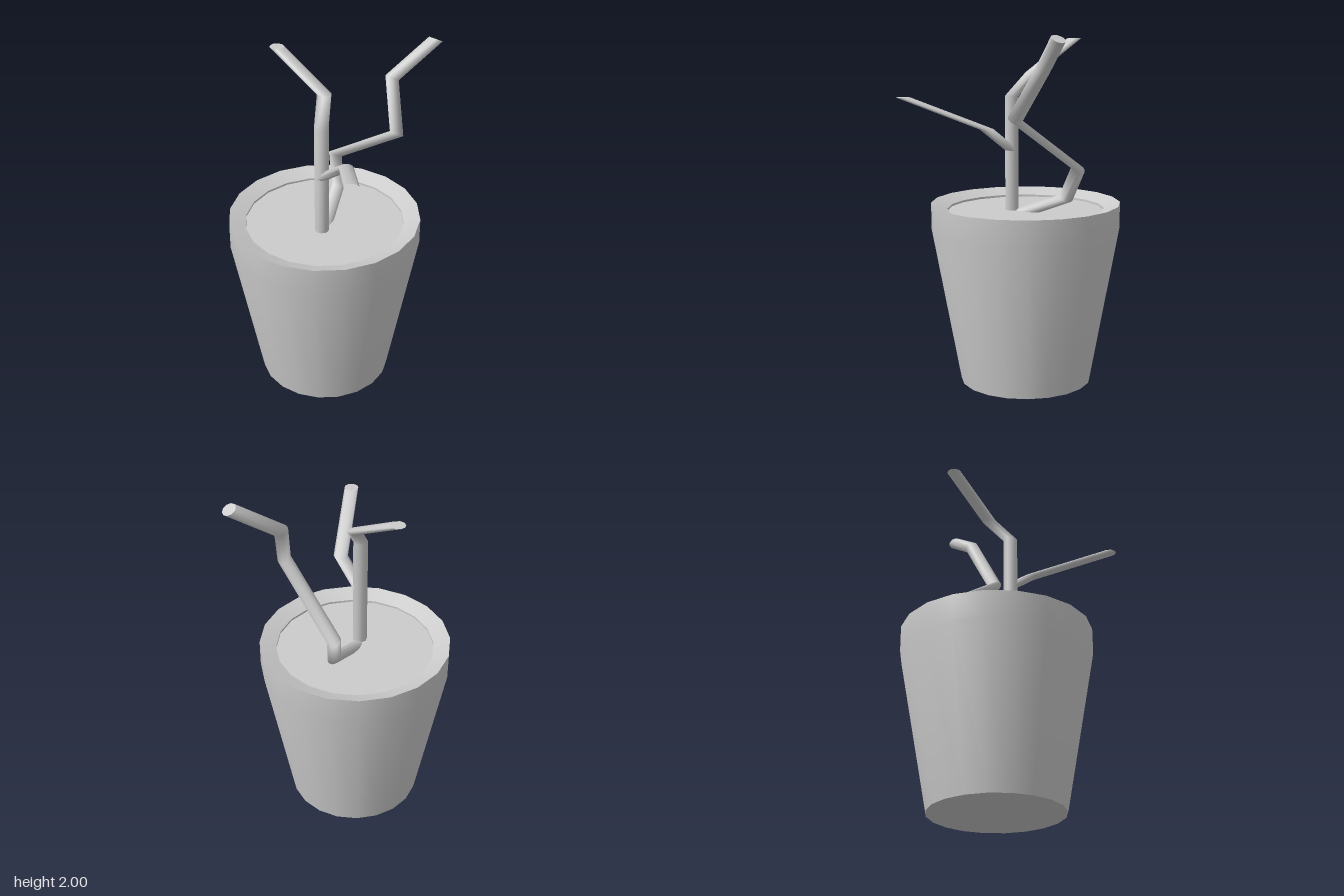
import * as THREE from 'three';
import { toCreasedNormals } from 'three/addons/utils/BufferGeometryUtils.js';

const material = new THREE.MeshStandardMaterial({ color: 0xcccccc });
const POT_X = -0.055, POT_Z = -0.03, POT_SIDES = 20;
const STEM_RADIUS = 0.04, STEM_SIDES = 10;

function add(group, name, geometry) {
  const mesh = new THREE.Mesh(geometry, material);
  mesh.name = name;
  group.add(mesh);
  return mesh;
}

// Stem whose rings all share one orientation: level, or leaning towards +x by tilt
function stemGeometry(path, tilt = 0) {
  const positions = [], index = [];
  const ring = ([x, y, z]) => {
    for (let j = 0; j < STEM_SIDES; j++) {
      const a = (j / STEM_SIDES) * Math.PI * 2;
      const u = STEM_RADIUS * Math.cos(a);
      positions.push(x + u * Math.cos(tilt), y - u * Math.sin(tilt), z + STEM_RADIUS * Math.sin(a));
    }
  };
  path.forEach(ring);
  for (let i = 0; i < path.length - 1; i++) {
    for (let j = 0; j < STEM_SIDES; j++) {
      const a = i * STEM_SIDES + j;
      const b = i * STEM_SIDES + (j + 1) % STEM_SIDES;
      const c = a + STEM_SIDES, d = b + STEM_SIDES;
      index.push(a, c, b, b, c, d);
    }
  }
  // Flat caps with their own vertices, so the cut ends stay sharp
  const cap = (point, top) => {
    const start = positions.length / 3;
    ring(point);
    for (let j = 1; j < STEM_SIDES - 1; j++) {
      if (top) index.push(start, start + j + 1, start + j);
      else index.push(start, start + j, start + j + 1);
    }
  };
  cap(path[0], false);
  cap(path[path.length - 1], true);
  const geometry = new THREE.BufferGeometry();
  geometry.setAttribute('position', new THREE.Float32BufferAttribute(positions, 3));
  geometry.setIndex(index);
  geometry.computeVertexNormals();
  return geometry;
}

export function createModel() {
  const model = new THREE.Group();
  model.name = 'pottedPlant';

  // Pot: flat base, tapered wall, straight collar, rim sloping inwards
  const profile = [
    [0, 0], [0.375, 0], [0.537, 0.89], [0.537, 1.04], [0.445, 1.005], [0.445, 0.98],
  ].map(([r, y]) => new THREE.Vector2(r, y));
  const pot = add(model, 'pot', toCreasedNormals(new THREE.LatheGeometry(profile, POT_SIDES), 0.4));
  pot.position.set(POT_X, 0, POT_Z);

  // Soil
  const soil = add(model, 'soil', new THREE.CircleGeometry(0.445, POT_SIDES).rotateX(-Math.PI / 2));
  soil.position.set(POT_X, 0.993, POT_Z);

  // Upright stem bending to the back
  add(model, 'mainStem', stemGeometry([
    [-0.125, 0.96, 0.015], [-0.125, 1.64, 0.015], [-0.025, 1.775, -0.055], [-0.047, 1.955, -0.375],
  ]));

  // Branch leaving the main stem towards the front
  add(model, 'sideBranch', stemGeometry([
    [-0.125, 1.335, 0.015], [-0.125, 1.465, 0.19], [-0.46, 1.635, 0.52],
  ]));

  // Zigzag stem
  add(model, 'zigzagStem', stemGeometry([
    [-0.125, 0.955, 0.015], [0.175, 1.085, -0.135], [0.215, 1.25, -0.19],
    [0.215, 1.55, 0.25], [0.305, 1.81, 0.135], [0.55, 1.98, 0.23],
  ], Math.PI / 6));

  return model;
}
